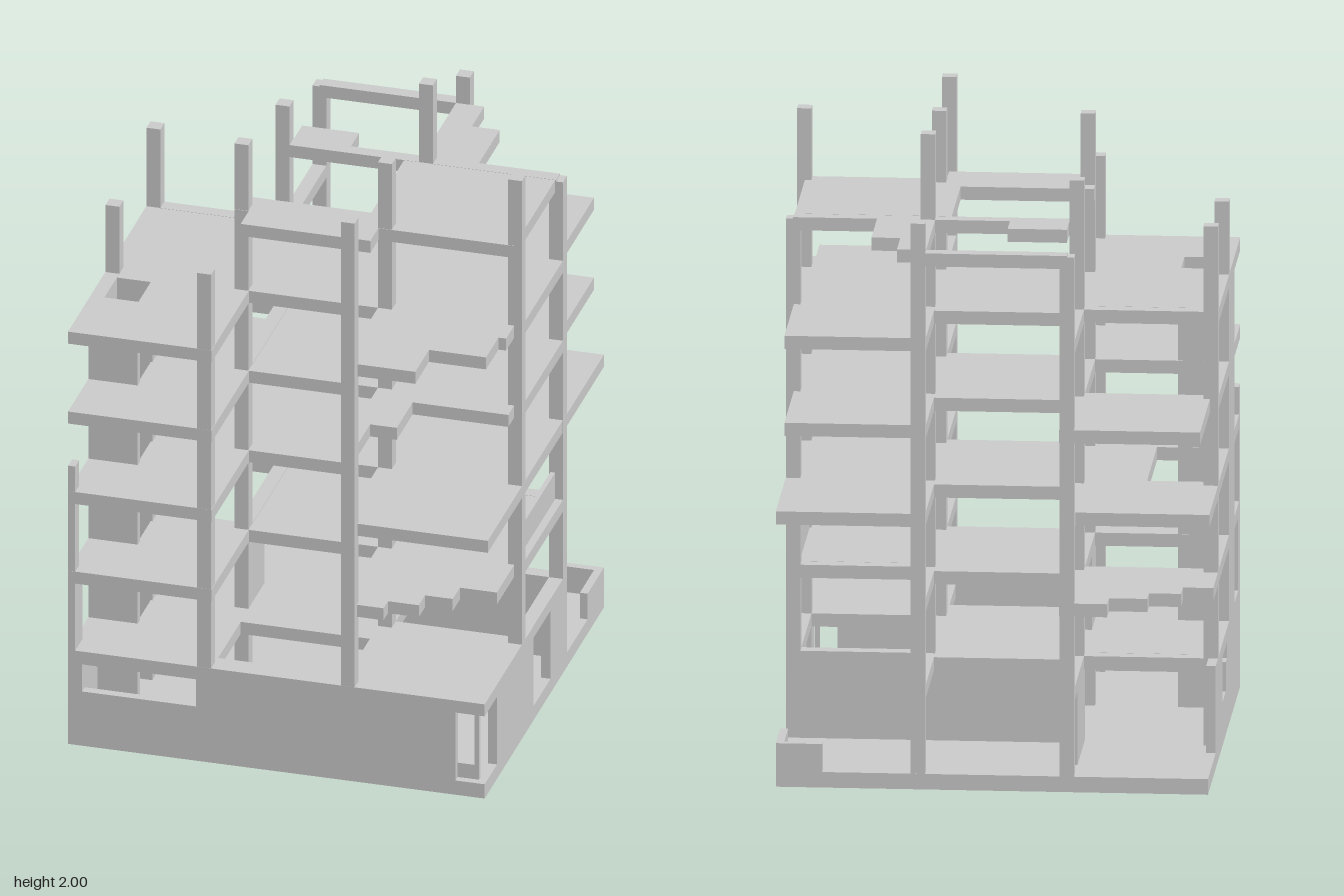
import * as THREE from 'three';

const material = new THREE.MeshStandardMaterial({ color: 0xcccccc, flatShading: true, side: THREE.DoubleSide });

// Box given by its extents along x, y and z
function block(parent, name, x0, x1, y0, y1, z0, z1) {
  const mesh = new THREE.Mesh(new THREE.BoxGeometry(x1 - x0, y1 - y0, z1 - z0), material);
  mesh.position.set((x0 + x1) / 2, (y0 + y1) / 2, (z0 + z1) / 2);
  mesh.name = name;
  parent.add(mesh);
  return mesh;
}

// Flat plate from a plan outline of [x, z] points, with optional rectangular holes
function plate(parent, name, outline, top, thickness, holes = []) {
  const toShape = (pts) => pts.map(([x, z]) => new THREE.Vector2(x, -z));
  const shape = new THREE.Shape(toShape(outline));
  for (const pts of holes) shape.holes.push(new THREE.Path(toShape(pts)));
  const geometry = new THREE.ExtrudeGeometry(shape, { depth: thickness, bevelEnabled: false });
  geometry.rotateX(-Math.PI / 2);
  geometry.translate(0, top - thickness, 0);
  const mesh = new THREE.Mesh(geometry, material);
  mesh.name = name;
  parent.add(mesh);
}

const rect = (x0, x1, z0, z1) => [[x0, z0], [x1, z0], [x1, z1], [x0, z1]];

const E = 0.675;                              // half width of the building
const G = [-0.652, -0.234, 0.231, 0.652];     // column grid lines
const H = 0.0225;                             // half column width
const T = 0.042;                              // slab thickness
const LEVEL = [0, 0.33, 0.607, 0.886, 1.165, 1.445, 1.725];

export function createModel() {
  const model = new THREE.Group();
  model.name = 'buildingFrame';
  const group = (name) => {
    const g = new THREE.Group();
    g.name = name;
    model.add(g);
    return g;
  };

  // Columns: height for each grid crossing (rows: z back to front, 0 = none)
  const columns = group('columns');
  const heights = [
    [0, 1.72, 1.82, 0],
    [1.72, 1.86, 2.0, 1.72],
    [1.68, 1.955, 1.955, 1.955],
    [0.975, 1.71, 1.955, 0],
  ];
  heights.forEach((row, j) => row.forEach((h, i) => {
    if (!h) return;
    const x1 = h < 1 ? G[i] : G[i] + H;
    block(columns, 'column', G[i] - H, x1, 0.05, h, G[j] - H, G[j] + H);
  }));

  // Beams joining the columns on each level
  const beams = group('beams');
  for (let n = 1; n <= 5; n++) {
    const y1 = LEVEL[n], y0 = y1 - T;
    for (const k of [1, 2]) {
      block(beams, 'crossBeam', -E, G[3] + H, y0, y1, G[k] - H, G[k] + H);
      block(beams, 'longBeam', G[k] - H, G[k] + H, y0, y1, G[0] - H, G[3] + H);
    }
    block(beams, 'leftEdgeBeam', G[0] - H, G[0] + H, y0, y1, G[1], G[2]);
    block(beams, 'rightEdgeBeam', G[3] - H, G[3] + H, y0, y1, G[1], G[2]);
  }
  const roofTop = LEVEL[6], roofLow = roofTop - T;
  block(beams, 'roofBackBeam', G[1], G[2], roofLow, roofTop, G[0] - H, G[0] + H);
  block(beams, 'roofSideBeam', G[2] - H, G[2] + H, roofLow, roofTop, G[0], G[2]);
  block(beams, 'roofCrossBeam', G[1] - H, G[3], roofLow, roofTop, G[1] - H, G[1] + H);

  // Floor slabs, bay by bay
  const slabs = group('floorSlabs');
  const a = 0.21;
  const shaft = [[-0.63, 0.28], [-0.52, 0.28], [-0.52, 0.42], [-0.63, 0.42]];
  for (let n = 1; n <= 5; n++) {
    plate(slabs, 'frontLeftSlab', rect(-E, -a, a, E), LEVEL[n], T, [shaft]);
    plate(slabs, 'centreSlab', rect(-a, a, -0.305, a), LEVEL[n], T);
    if (n > 1) plate(slabs, 'rightSlab', rect(a, 0.65, -a, a), LEVEL[n], T);
  }
  const bays = [
    [1, rect(-E, -a, -a, a)],
    [1, rect(a, E, a, E)],
    [1, rect(-a, a, 0.6, E)],
    [1, rect(-a, a, a, 0.345)],
    // broken edges, front right
    [2, [[a, a], [0.65, a], [0.65, 0.45], [0.53, 0.45], [0.53, 0.53], [0.44, 0.53], [0.44, 0.6], [0.34, 0.6], [0.34, 0.65], [a, 0.65]]],
    [3, rect(a, E, a, 0.64)],
    [4, [[a, a], [0.65, a], [0.65, 0.32], [0.34, 0.32], [0.34, 0.5], [a, 0.5]]],
    [5, [[a, a], [0.65, a], [0.65, 0.345], [0.625, 0.345], [0.625, 0.485], [0.44, 0.485], [0.44, 0.64], [a, 0.64]]],
    // back left
    [2, [[-a, -a], [-E, -a], [-E, -0.45], [-0.58, -0.45], [-0.58, -0.53], [-0.48, -0.53], [-0.48, -0.6], [-0.36, -0.6], [-0.36, -E], [-a, -E]]],
    [3, rect(-E, -a, -0.62, -a)],
    [4, rect(-0.65, -a, -E, -a)],
    [3, rect(-0.45, -a, -a, a)],
    [5, rect(-E, -a, -a, a)],
    // back right
    [3, rect(a, E, -E, -a)],
    [4, rect(a, 0.65, -0.65, -a)],
    [5, rect(a, 0.65, -0.65, -a)],
    // roof
    [6, rect(a, 0.65, -a, 0.255)],
    [6, rect(-a, a, a, 0.345)],
    [6, rect(G[1] - H, a, 0.16, 0.255)],
    [6, rect(0.16, a, -a, 0.16)],
    [6, [[a, -0.255], [0.39, -0.255], [0.39, -0.49], [0.3, -0.49], [0.3, -0.63], [a, -0.63]]],
    [6, rect(-a, -0.025, -0.35, -0.255)],
  ];
  for (const [n, outline] of bays) plate(slabs, 'baySlab', outline, LEVEL[n], T);

  // Lift shaft with a doorway on each floor
  const core = group('liftShaft');
  block(core, 'shaftOuterWall', -E, -0.63, 0.05, 1.41, 0.21, 0.445);
  block(core, 'shaftBackWall', -0.63, -0.515, 0.05, 1.41, 0.21, 0.28);
  block(core, 'shaftFrontWall', -0.63, -0.515, 0.05, 1.41, 0.42, 0.445);
  for (let n = 1; n <= 4; n++) {
    block(core, 'doorLintel', -0.53, -0.515, LEVEL[n] + 0.19, LEVEL[n + 1] - T, 0.28, 0.42);
  }

  // Base: floor, outer walls and openings
  const base = group('base');
  const W = 0.03, F = 0.05, top = LEVEL[1];
  block(base, 'groundSlab', -E, E, 0, F, -E, E);
  block(base, 'frontWall', -0.26, 0.58, F, top, E - W, E);
  block(base, 'frontWallBelowWindow', -E, -0.26, F, 0.19, E - W, E);
  block(base, 'frontWallAboveWindow', -E, -0.26, 0.285, top, E - W, E);
  block(base, 'windowJamb', -E, -0.63, 0.19, 0.285, E - W, E);
  block(base, 'cornerPost', 0.635, 0.65, F, 0.29, 0.635, 0.65);
  block(base, 'cornerSill', 0.58, 0.65, F, 0.1, 0.635, 0.65);
  block(base, 'rightWall', E - W, E, F, top, 0.12, 0.535);
  block(base, 'rightPier', E - W, E, F, top, -0.25, -0.07);
  block(base, 'leftWallFront', -E, -E + W, F, top, 0.12, E);
  block(base, 'leftWallBack', -E, -E + W, F, top, -0.35, -0.07);
  block(base, 'leftSill', -E, -E + W, F, 0.14, -0.07, 0.07);
  block(base, 'leftSillStep', -E, -E + W, F, 0.235, 0.07, 0.12);
  block(base, 'leftLintel', -E, -E + W, 0.285, top, -0.07, 0.12);
  block(base, 'cornerLowWallRight', E - 0.025, E, F, 0.14, -E, -0.49);
  block(base, 'cornerLowWallBack', 0.53, E, F, 0.14, -E, -E + 0.025);
  block(base, 'innerWallLeft', G[1] - H, G[1] + H, F, 0.29, -0.53, G[1]);
  block(base, 'innerWallBack', G[1], E, F, top, G[1] - H, G[1] + H);

  // Loose wall pieces on the upper floors
  const walls = group('upperWalls');
  block(walls, 'parapet', 0.635, 0.65, LEVEL[2], 0.7, -a, a);
  block(walls, 'wallStub', G[1] - H, G[1] + H, top, LEVEL[2] - T, 0.07, a);
  block(walls, 'cornerWall', -E, G[0], top, LEVEL[2] - T, 0.59, E);

  return model;
}
